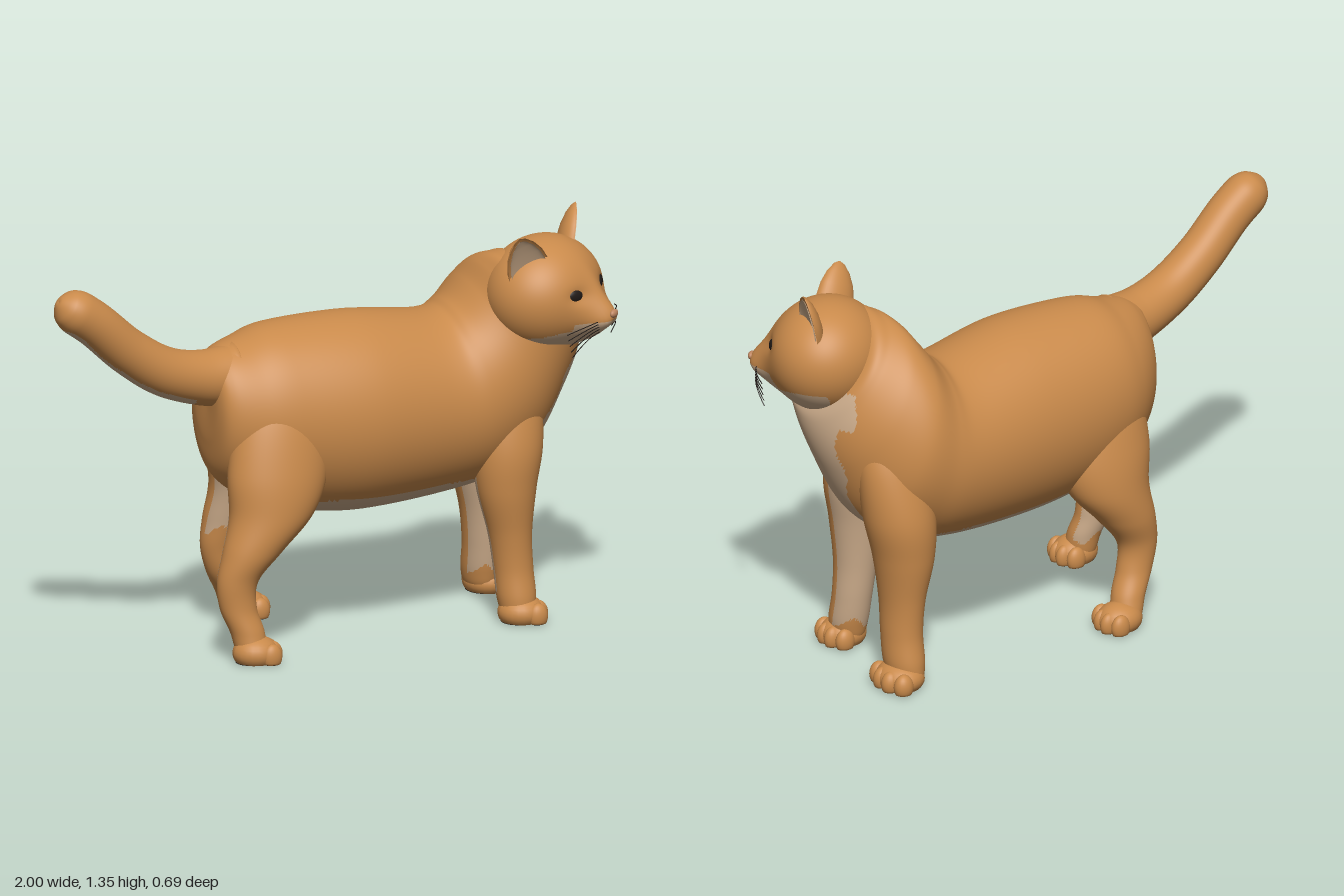
import * as THREE from 'three';
import { mergeVertices } from 'three/addons/utils/BufferGeometryUtils.js';

const mat = (name, color, side = THREE.FrontSide) => {
  const m = new THREE.MeshStandardMaterial({ color, side });
  m.name = name;
  return m;
};

export function createModel() {
  const fur = mat('gingerFur', 0xc98a4b, THREE.DoubleSide);
  const cream = mat('creamFur', 0xcbab8a, THREE.DoubleSide);
  const dark = mat('darkPadsAndEyes', 0x211b18);
  const pink = mat('noseSkin', 0xbd8560);
  const coat = [fur, cream];
  const cat = new THREE.Group();
  cat.name = 'cat';

  const add = (parent, name, geo, material, pos = [0, 0, 0], scale = [1, 1, 1]) => {
    const m = new THREE.Mesh(geo, material);
    m.name = name;
    m.position.set(...pos);
    m.scale.set(...scale);
    parent.add(m);
    return m;
  };

  // Sort triangles into ginger and cream groups by a rule on centroid and normal
  const paint = (geo, isCream) => {
    geo.computeVertexNormals();
    const P = geo.attributes.position, N = geo.attributes.normal, idx = geo.index.array;
    const buckets = [[], []], p = new THREE.Vector3(), n = new THREE.Vector3(), q = new THREE.Vector3();
    for (let i = 0; i < idx.length; i += 3) {
      p.set(0, 0, 0);
      n.set(0, 0, 0);
      for (let k = 0; k < 3; k++) {
        p.add(q.fromBufferAttribute(P, idx[i + k]));
        n.add(q.fromBufferAttribute(N, idx[i + k]));
      }
      buckets[isCream(p.divideScalar(3), n.normalize()) ? 1 : 0].push(idx[i], idx[i + 1], idx[i + 2]);
    }
    geo.setIndex([...buckets[0], ...buckets[1]]);
    geo.addGroup(0, buckets[0].length, 0);
    geo.addGroup(buckets[0].length, buckets[1].length, 1);
    return geo;
  };

  // Smooth closed skin through elliptical rings: centre c, in-plane half axis u, half width w along z
  const loft = (sections, isCream, steps, sides) => {
    const flat = sections.map(({ c, u, w }) => [...c, ...u, w]);
    const closed = (r) => [r[0], r[1], r[2], 0, 0, 0];
    const rows = [closed(flat[0]), ...flat, closed(flat[flat.length - 1])];
    const pos = [], idx = [], total = (rows.length - 1) * steps;
    const row = (i) => rows[Math.min(Math.max(i, 0), rows.length - 1)];
    const spline = (a, b, c, d, t) =>
      0.5 * (2 * b + (c - a) * t + (2 * a - 5 * b + 4 * c - d) * t * t + (3 * b - a - 3 * c + d) * t ** 3);
    for (let s = 0; s <= total; s++) {
      const i = Math.min(Math.floor(s / steps), rows.length - 2), t = s / steps - i;
      const [cx, cy, cz, ux, uy, w] = row(i).map((b, k) => spline(row(i - 1)[k], b, row(i + 1)[k], row(i + 2)[k], t));
      for (let j = 0; j < sides; j++) {
        const a = (j / sides) * Math.PI * 2, c = Math.cos(a);
        pos.push(cx + c * ux, cy + c * uy, cz + Math.sin(a) * w);
        if (s === total) continue;
        const k = (j + 1) % sides, A = s * sides, B = A + sides;
        idx.push(A + j, A + k, B + k, A + j, B + k, B + j);
      }
    }
    const g = new THREE.BufferGeometry();
    g.setAttribute('position', new THREE.Float32BufferAttribute(pos, 3));
    g.setIndex(idx);
    return paint(g, isCream);
  };

  // Torso and neck: [topX, topY, bottomX, bottomY, centreZ, halfWidth]
  const torso = [
    [-0.43, 0.97, -0.43, 0.7, 0.04, 0.1], [-0.39, 1.01, -0.4, 0.58, 0.03, 0.17],
    [-0.3, 1.035, -0.29, 0.49, 0.01, 0.23], [-0.18, 1.065, -0.14, 0.435, 0, 0.265],
    [0.1, 1.07, 0.1, 0.405, -0.01, 0.29], [0.38, 1.035, 0.42, 0.42, -0.045, 0.285],
    [0.46, 1.06, 0.6, 0.46, -0.05, 0.285], [0.52, 1.13, 0.75, 0.56, -0.05, 0.275],
    [0.56, 1.19, 0.84, 0.74, -0.015, 0.24], [0.6, 1.22, 0.875, 0.88, 0.035, 0.205],
    [0.66, 1.22, 0.855, 0.96, 0.075, 0.18],
  ].map(([tx, ty, bx, by, z, w]) => ({ c: [(tx + bx) / 2, (ty + by) / 2, z], u: [(tx - bx) / 2, (ty - by) / 2], w }));
  add(cat, 'torso', loft(torso, (p, n) => {
    const wave = 0.012 * Math.sin(p.y * 32);
    const bib = p.x > 0.6 && n.x > 0.1 && p.y < 1.02 && p.z < 0.15 + wave && p.z > (p.y > 0.9 ? -0.14 : -0.1) + wave;
    return bib || (p.y < 0.485 && p.x > -0.3);
  }, 14, 100), coat);

  // Tail, swept from a rounded tip to the root
  const tailPath = new THREE.CatmullRomCurve3([
    [-0.993, 1.255, 0.12], [-0.87, 1.17, 0.115], [-0.735, 1.053, 0.1],
    [-0.6, 0.967, 0.085], [-0.46, 0.925, 0.06], [-0.34, 0.915, 0.04],
  ].map((p) => new THREE.Vector3(...p)));
  const tail = Array.from({ length: 33 }, (_, i) => {
    const t = i / 32, d = tailPath.getTangentAt(t), tip = Math.min((t + 0.004) / 0.12, 1);
    const r = (0.075 + 0.03 * t ** 3) * Math.sqrt(1 - (1 - tip) ** 2);
    return { c: tailPath.getPointAt(t).toArray(), u: [-d.y * r, d.x * r], w: r };
  });
  add(cat, 'tail', loft(tail, (p, n) => n.y < -0.7 && p.x < -0.5, 3, 56), coat);

  // Leg profiles from shoulder or hip to ankle: [x, y, outward z, radiusX, radiusZ]
  const foreleg = [
    [0.62, 0.92, 0.05, 0.06, 0.06], [0.62, 0.78, 0.095, 0.11, 0.085], [0.61, 0.6, 0.122, 0.12, 0.105],
    [0.603, 0.45, 0.13, 0.1, 0.095], [0.615, 0.3, 0.13, 0.073, 0.076], [0.625, 0.18, 0.135, 0.066, 0.068],
    [0.63, 0.08, 0.15, 0.064, 0.068], [0.63, 0.025, 0.157, 0.045, 0.055],
  ];
  const hindLeg = [
    [-0.22, 0.95, 0.1, 0.08, 0.06], [-0.22, 0.8, 0.148, 0.15, 0.1], [-0.24, 0.62, 0.185, 0.172, 0.115],
    [-0.27, 0.48, 0.205, 0.145, 0.11], [-0.345, 0.365, 0.222, 0.102, 0.085], [-0.4, 0.27, 0.225, 0.07, 0.06],
    [-0.4, 0.18, 0.228, 0.062, 0.055], [-0.375, 0.1, 0.245, 0.057, 0.055], [-0.365, 0.025, 0.26, 0.045, 0.05],
  ];
  // Each leg slides its profile by [x, outward z], blended from foot to hip; inner, front and low bound the cream
  const legs = [
    { name: 'frontRightLeg', profile: foreleg, side: 1, hip: [0, 0], foot: [0, 0], girth: 1, inner: 0, front: 1, low: 0.09, paw: [0.64, 0.165, 0.08] },
    { name: 'frontLeftLeg', profile: foreleg, side: -1, hip: [0.07, 0.075], foot: [0.04, 0.08], girth: 1.15, inner: -0.3, front: 0.1, low: 0.09, paw: [0.695, 0.238, 0.093] },
    { name: 'rearRightLeg', profile: hindLeg, side: 1, hip: [0, 0], foot: [0, 0], girth: 1, inner: -0.3, front: 1, low: 0.1, paw: [-0.355, 0.268, 0.075] },
    { name: 'rearLeftLeg', profile: hindLeg, side: -1, hip: [0.05, -0.03], foot: [0.18, 0], girth: 1, inner: -0.3, front: 1, low: 0.33, paw: [-0.16, 0.265, 0.075] },
  ];
  const ball = new THREE.SphereGeometry(1, 24, 16);
  // Ball with a flat underside, for paws and toes
  const flatBall = ball.clone();
  const F = flatBall.attributes.position;
  for (let i = 0; i < F.count; i++) F.setY(i, Math.max(F.getY(i), -0.55));
  flatBall.computeVertexNormals();
  for (const { name, profile, side, hip, foot, girth, inner, front, low, paw: [px, out, w] } of legs) {
    const leg = new THREE.Group();
    leg.name = name;
    cat.add(leg);
    const sections = profile.map(([x, y, z, rx, rz]) => {
      const [dx, dz] = foot.map((f, k) => THREE.MathUtils.lerp(f, hip[k], y / 0.8));
      return { c: [x + dx, y, side * (z + dz)], u: [rx, 0], w: rz * girth };
    });
    add(leg, 'limb', loft(sections, (p, n) => side * n.z < inner && n.x < front && p.y < 0.62
      && p.y > low + 0.02 * Math.sin(p.x * 60), 8, 56), coat);
    // Paw with four toes and dark pads
    const pz = side * out;
    add(leg, 'paw', flatBall, fur, [px, 0.034, pz], [0.078, 0.056, w * 0.95]);
    add(leg, 'solePad', ball, dark, [px - 0.008, 0.004, pz], [0.06, 0.004, w * 0.76]);
    for (let i = 0; i < 4; i++) {
      const tx = px + (i % 3 === 0 ? 0.034 : 0.052), tz = pz + (i - 1.5) * w * 0.5;
      add(leg, 'toe', flatBall, fur, [tx, 0.028, tz], [0.034, 0.043, w * 0.32]);
      add(leg, 'toePad', ball, dark, [tx, 0.004, tz], [0.025, 0.004, w * 0.24]);
    }
  }

  // Head, turned to its right and slightly tilted
  const head = new THREE.Group();
  head.name = 'head';
  head.position.set(0.755, 1.09, 0.09);
  head.rotation.set(0, 0.66, 0.08, 'YXZ');
  cat.add(head);
  let skull = new THREE.SphereGeometry(1, 120, 90);
  skull.deleteAttribute('uv');
  skull.deleteAttribute('normal');
  skull = mergeVertices(skull);
  const V = skull.attributes.position;
  const bump = (x, y, cx, cy, rx, ry) => Math.exp(-(((x - cx) / rx) ** 2) - ((y - cy) / ry) ** 2);
  for (let i = 0; i < V.count; i++) {
    const x = V.getX(i) * 0.217, y = V.getY(i) * (V.getY(i) < 0 ? 0.195 : 0.186);
    let z = V.getZ(i) * 0.19;
    if (z > 0) {
      // Muzzle, chin, whisker cheeks, nose bridge and eye hollows
      z += 0.065 * bump(x, y, 0, -0.06, 0.075, 0.06) + 0.03 * bump(x, y, 0, -0.13, 0.055, 0.04);
      z += 0.018 * bump(Math.abs(x), y, 0.035, -0.08, 0.03, 0.03);
      z += 0.015 * bump(x, y, 0, 0, 0.035, 0.08) - 0.01 * bump(Math.abs(x), y, 0.08, 0.025, 0.035, 0.025);
    }
    V.setXYZ(i, x, y, z);
  }
  add(head, 'skull', paint(skull, (p) =>
    (p.y < -0.068 && p.z > 0.13 && Math.abs(p.x) < 0.1) || (p.y < -0.1 + 0.008 * Math.sin(p.x * 40) && p.z > -0.06)), coat);
  add(head, 'nose', ball, pink, [0, -0.046, 0.258], [0.021, 0.014, 0.011]);

  // Ears, eyes and whiskers, mirrored
  const earProfile = [[0.074, -0.03], [0.073, 0.02], [0.063, 0.065], [0.044, 0.105], [0.02, 0.133], [0.001, 0.142]]
    .map(([r, y]) => new THREE.Vector2(r, y));
  const halfLathe = new THREE.LatheGeometry(earProfile, 20, Math.PI / 2, Math.PI);
  for (const s of [-1, 1]) {
    // Open outward, then lean away from the crown
    const ear = new THREE.Group();
    ear.name = s > 0 ? 'leftEar' : 'rightEar';
    ear.position.set(s * 0.138, 0.115, 0.025);
    ear.rotation.set(0, s * 0.68, -s * 0.42, 'ZXY');
    head.add(ear);
    add(ear, 'earBack', halfLathe, fur, [0, 0, 0], [1, 1, 0.6]);
    add(ear, 'earRim', halfLathe, fur, [0, 0, 0], [1, 1, 0.2]);
    add(ear, 'earInside', halfLathe, cream, [0, 0, 0.003], [0.88, 0.93, 0.18]);

    const eye = add(head, 'eye', ball, dark, [s * 0.083, 0.027, 0.161], [0.031, 0.022, 0.013]);
    eye.rotation.set(0, s * 0.42, s * 0.2);
    add(head, 'tearCorner', ball, cream, [s * 0.062, 0.008, 0.172], [0.014, 0.008, 0.009]);

    for (let i = 0; i < 5; i++) {
      const y = -0.065 - i * 0.009;
      const path = new THREE.QuadraticBezierCurve3(
        new THREE.Vector3(s * 0.045, y, 0.225),
        new THREE.Vector3(s * 0.11, y + 0.005, 0.22),
        new THREE.Vector3(s * (0.165 - i * 0.008), y - 0.015 - i * 0.013, 0.17));
      add(head, 'whisker', new THREE.TubeGeometry(path, 8, 0.0016, 5), dark);
    }
  }
  return cat;
}
